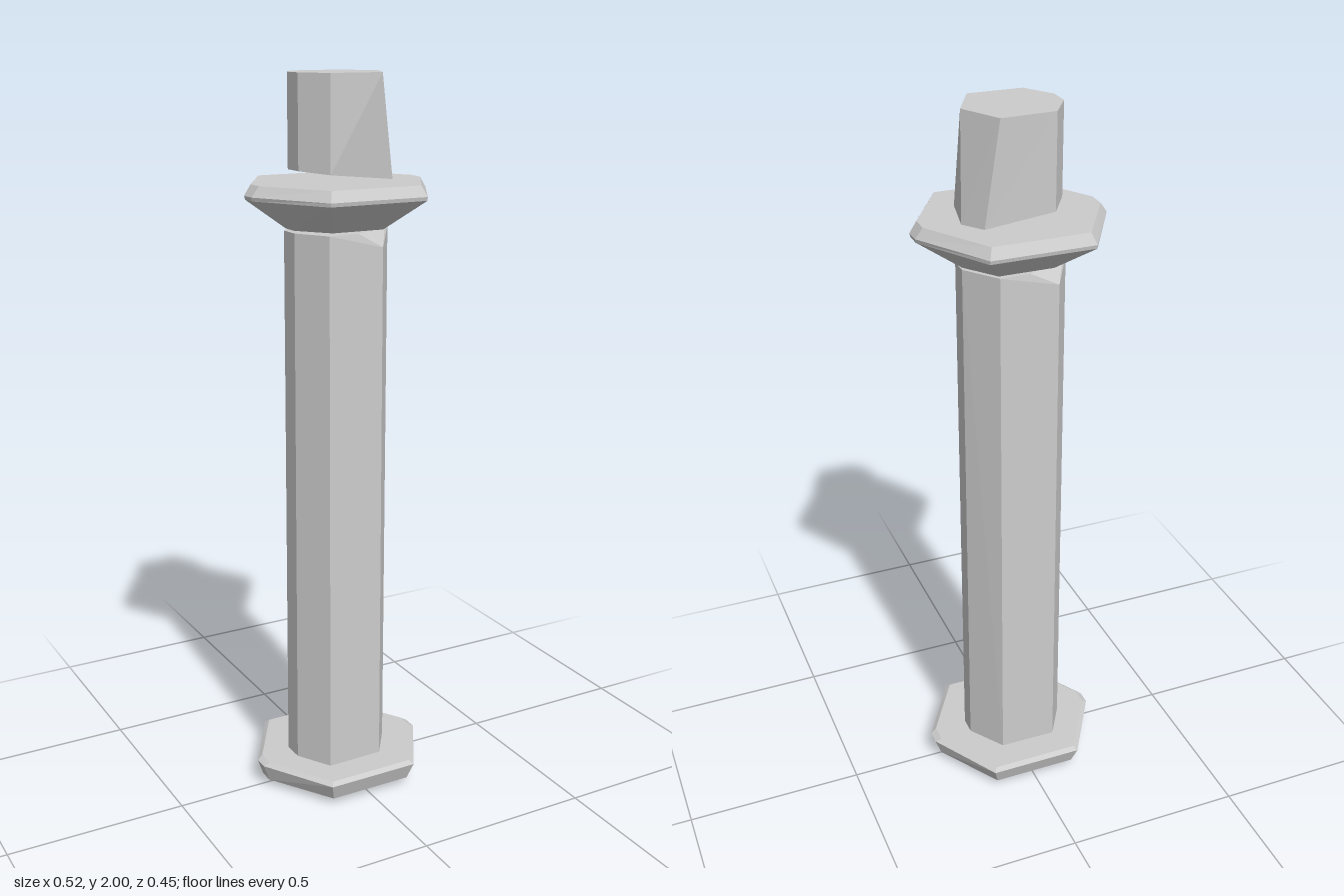
import * as THREE from 'three';
import { ConvexGeometry } from 'three/addons/geometries/ConvexGeometry.js';

const material = new THREE.MeshStandardMaterial({ color: 0xcccccc, flatShading: true });

// Hexagon with clipped side points: hx, hz = half sizes, kx = half of the front edge, c = half of the clip
function hexRing(y, hx, hz, kx, c) {
  return [[hx, c], [hx, -c], [kx, -hz], [-kx, -hz], [-hx, -c], [-hx, c], [-kx, hz], [kx, hz]]
    .map(([x, z]) => new THREE.Vector3(x, y, z));
}

// Joins rings of equal length from bottom to top and closes both ends
function loft(rings) {
  const pos = [];
  const tri = (...pts) => pts.forEach((p) => pos.push(p.x, p.y, p.z));
  const n = rings[0].length;
  const centre = (ring) => ring.reduce((s, p) => s.add(p), new THREE.Vector3()).divideScalar(n);
  const first = rings[0], last = rings[rings.length - 1];
  const low = centre(first), high = centre(last);
  for (let i = 0; i < n; i++) {
    const j = (i + 1) % n;
    for (let r = 0; r + 1 < rings.length; r++) {
      const a = rings[r], b = rings[r + 1];
      tri(a[i], a[j], b[j]);
      tri(a[i], b[j], b[i]);
    }
    tri(low, first[j], first[i]);
    tri(high, last[i], last[j]);
  }
  const geometry = new THREE.BufferGeometry();
  geometry.setAttribute('position', new THREE.Float32BufferAttribute(pos, 3));
  geometry.computeVertexNormals();
  return geometry;
}

export function createModel() {
  const group = new THREE.Group();
  const add = (name, geometry) => {
    const mesh = new THREE.Mesh(geometry, material);
    mesh.name = name;
    group.add(mesh);
  };

  // Foot plate with bevelled underside
  add('base', loft([
    hexRing(0.003, 0.16, 0.13, 0.085, 0.02),
    hexRing(0.022, 0.235, 0.2, 0.12, 0.02),
    hexRing(0.07, 0.252, 0.217, 0.133, 0.02),
    hexRing(0.08, 0.235, 0.205, 0.125, 0.025),
  ]));

  // Long shaft with two opposite top corners chipped off
  const v = (x, y, z) => new THREE.Vector3(x, y, z);
  const shaft = [];
  for (const s of [-1, 1]) {
    shaft.push(v(-0.09, 0.07, s * 0.125), v(0.072, 0.07, s * 0.123));
    shaft.push(v(0.14, 0.07, s * 0.025), v(-0.147, 0.07, s * 0.03));
    shaft.push(v(0.14, 1.597, s * 0.025), v(-0.143, 1.597, s * 0.03));
  }
  shaft.push(v(-0.088, 1.597, 0.12), v(0.072, 1.597, -0.115));
  shaft.push(v(0.072, 1.557, 0.118), v(0, 1.597, 0.115), v(0.12, 1.597, 0.045));
  shaft.push(v(-0.088, 1.557, -0.118), v(-0.01, 1.597, -0.113), v(-0.125, 1.597, -0.05));
  add('shaft', new ConvexGeometry(shaft));

  // Flared collar
  add('collar', loft([
    hexRing(1.603, 0.14, 0.113, 0.075, 0.025),
    hexRing(1.685, 0.258, 0.223, 0.14, 0.02),
    hexRing(1.695, 0.26, 0.225, 0.14, 0.022),
    hexRing(1.723, 0.24, 0.208, 0.13, 0.025),
  ]));

  // Top block, skewed at its tilted lower end
  const blockRing = (pts, y, slope) => pts.map(([x, z]) => v(x, y + slope * x, z));
  add('topBlock', loft([
    blockRing([[0.147, -0.045], [0.11, -0.11], [-0.078, -0.11], [-0.13, -0.03],
      [-0.13, 0.03], [-0.078, 0.108], [0.12, 0.082]], 1.741, -0.11),
    blockRing([[0.13, -0.005], [0.07, -0.115], [-0.078, -0.11], [-0.13, -0.03],
      [-0.13, 0.03], [-0.078, 0.108], [0.07, 0.112]], 2, 0),
  ]));

  return group;
}
